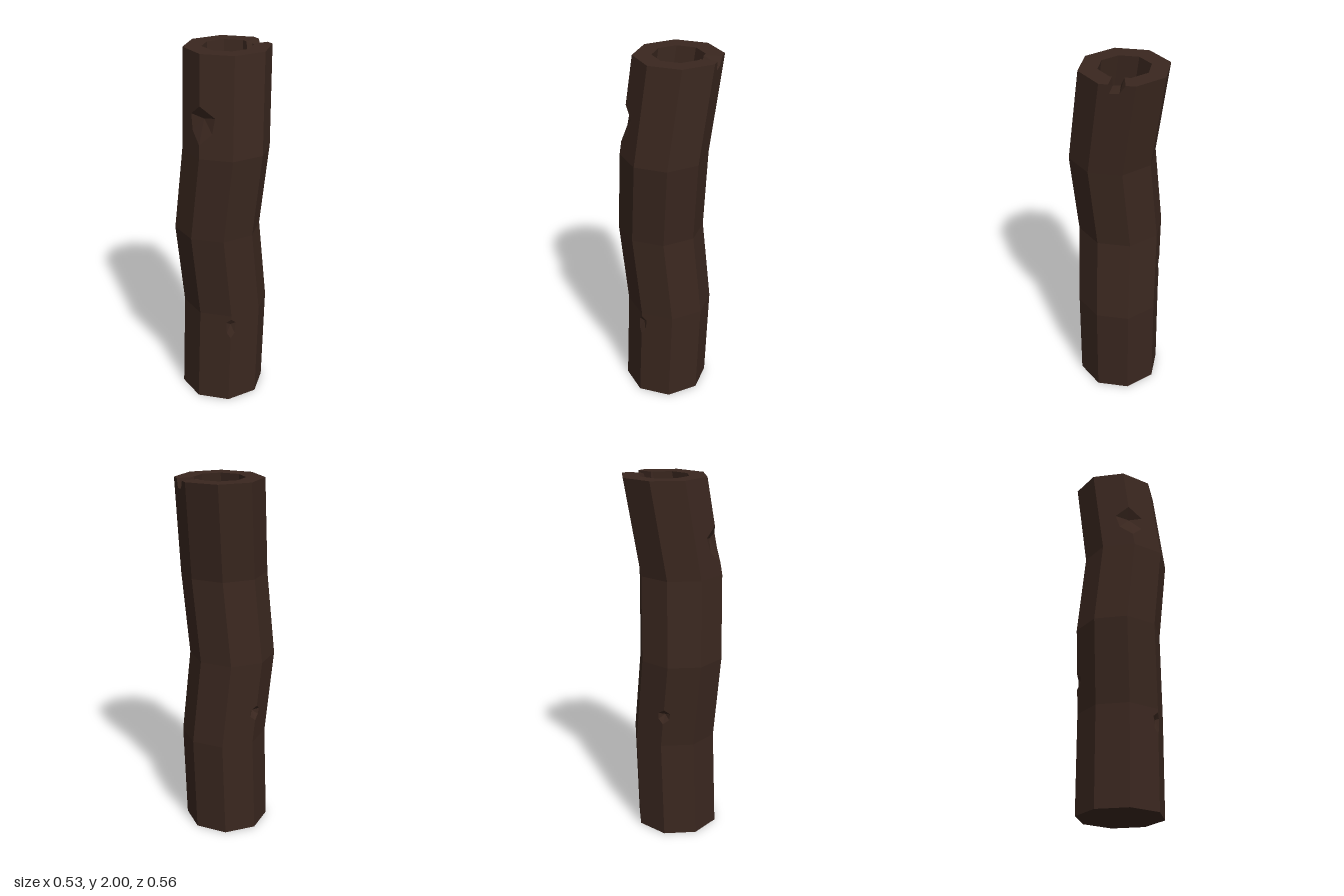
import * as THREE from 'three';

const SIDES = 8, R = 0.234, R_IN = 0.136, FLOOR = 1.5, TOP = 2;

// Bent centre line: [y, x, z] at each ring
const RINGS = [
  [0, -0.003, 0.012], [0.55, 0.014, 0.002], [1.02, -0.033, 0.02],
  [1.48, 0.012, 0.042], [TOP, 0.032, -0.045],
];

// Dents on a corner line: outline goes up from bottom to top as [offset along face, y]
const DENTS = [
  { ring: 3, k: 3, outline: [[0, 1.55], [0.38, 1.61], [0.46, 1.69], [0, 1.745]], tip: [1.675, 0.192] },
  { ring: 1, k: 5, outline: [[0, 0.685], [0.18, 0.71], [0.2, 0.745], [0, 0.77]], tip: [0.735, 0.2] },
  { ring: 0, k: 2, outline: [[0, 0.41], [0.13, 0.44], [0.16, 0.505], [0, 0.53]], tip: [0.49, 0.212] },
];

// Point on the log at corner number k (fractions lie along the flat face)
function pt(k, y, r = R) {
  let i = 0;
  while (i < RINGS.length - 2 && y > RINGS[i + 1][0]) i++;
  const [a, b] = [RINGS[i], RINGS[i + 1]];
  const s = (y - a[0]) / (b[0] - a[0]);
  const corner = (n) => {
    const t = (n * Math.PI * 2) / SIDES;
    return new THREE.Vector3(Math.cos(t) * r, 0, Math.sin(t) * r);
  };
  const n = Math.floor(k);
  const p = corner(n).lerp(corner(n + 1), k - n);
  return p.add(new THREE.Vector3(a[1] + (b[1] - a[1]) * s, y, a[2] + (b[2] - a[2]) * s));
}

// Adds a polygon, counter-clockwise from its front, as triangles
function poly(out, pts) {
  const n = new THREE.Vector3();
  pts.forEach((p, i) => n.add(new THREE.Vector3().crossVectors(p, pts[(i + 1) % pts.length])));
  n.normalize();
  const u = pts[1].clone().sub(pts[0]);
  u.addScaledVector(n, -u.dot(n)).normalize();
  const v = new THREE.Vector3().crossVectors(n, u);
  const flat = pts.map((p) => new THREE.Vector2(p.dot(u), p.dot(v)));
  for (const [a, b, c] of THREE.ShapeUtils.triangulateShape(flat, [])) {
    const ccw = THREE.ShapeUtils.area([flat[a], flat[b], flat[c]]) > 0;
    for (const i of ccw ? [a, b, c] : [a, c, b]) out.push(...pts[i].toArray());
  }
}

export function createModel() {
  const log = new THREE.Group();
  log.name = 'hollowLog';
  const material = new THREE.MeshStandardMaterial({ color: 0x3a271f, flatShading: true });

  function part(name, build) {
    const out = [];
    build(out);
    const geo = new THREE.BufferGeometry();
    geo.setAttribute('position', new THREE.Float32BufferAttribute(out, 3));
    geo.computeVertexNormals();
    const mesh = new THREE.Mesh(geo, material);
    mesh.name = name;
    log.add(mesh);
  }

  // Notch through the rim on the last face: same cut on the outer and inner wall
  const last = SIDES - 1;
  const cutOuter = [[7.27, TOP], [7.4, 1.955], [7.68, 1.95], [7.74, TOP]].map(([k, y]) => pt(k, y));
  const cutInner = [[7.3, TOP], [7.42, 1.955], [7.8, 1.95], [7.88, TOP]].map(([k, y]) => pt(k, y, R_IN));

  const corners = [...Array(SIDES).keys()];

  // Points of a dent's edge on one of the two faces beside its corner line
  const dentEdge = (ring, corner, dir) => {
    const d = DENTS.find((e) => e.ring === ring && e.k === corner % SIDES);
    return d ? d.outline.map(([t, y]) => pt(corner + dir * t, y)) : [];
  };

  part('bark', (out) => {
    for (let i = 0; i < RINGS.length - 1; i++) {
      const y0 = RINGS[i][0], y1 = RINGS[i + 1][0];
      for (const k of corners) {
        const notch = k === last && y1 === TOP ? cutOuter : [];
        poly(out, [
          pt(k + 1, y0), pt(k, y0), ...dentEdge(i, k, 1),
          pt(k, y1), ...notch, pt(k + 1, y1), ...dentEdge(i, k + 1, -1).reverse(),
        ]);
      }
    }
  });

  part('dents', (out) => {
    for (const { ring, k, tip } of DENTS) {
      const deep = pt(k, ...tip);
      for (const edge of [dentEdge(ring, k, 1), dentEdge(ring, k, -1).reverse()]) {
        for (let j = 0; j < edge.length - 1; j++) poly(out, [edge[j + 1], edge[j], deep]);
      }
    }
  });

  part('rim', (out) => {
    for (const k of corners) {
      const o = [pt(k, TOP), pt(k + 1, TOP)];
      const n = [pt(k, TOP, R_IN), pt(k + 1, TOP, R_IN)];
      if (k === last) {
        poly(out, [cutOuter[0], o[0], n[0], cutInner[0]]);
        poly(out, [o[1], cutOuter[3], cutInner[3], n[1]]);
      } else poly(out, [o[1], o[0], n[0], n[1]]);
    }
  });

  part('rimNotch', (out) => {
    for (let j = 0; j < 3; j++) poly(out, [cutOuter[j + 1], cutOuter[j], cutInner[j], cutInner[j + 1]]);
  });

  part('hollow', (out) => {
    for (const k of corners) {
      const notch = k === last ? [...cutInner].reverse() : [];
      poly(out, [
        pt(k, FLOOR, R_IN), pt(k + 1, FLOOR, R_IN), pt(k + 1, TOP, R_IN), ...notch, pt(k, TOP, R_IN),
      ]);
    }
    poly(out, corners.map((k) => pt(k, FLOOR, R_IN)).reverse());
  });

  part('base', (out) => poly(out, corners.map((k) => pt(k, 0))));

  return log;
}
